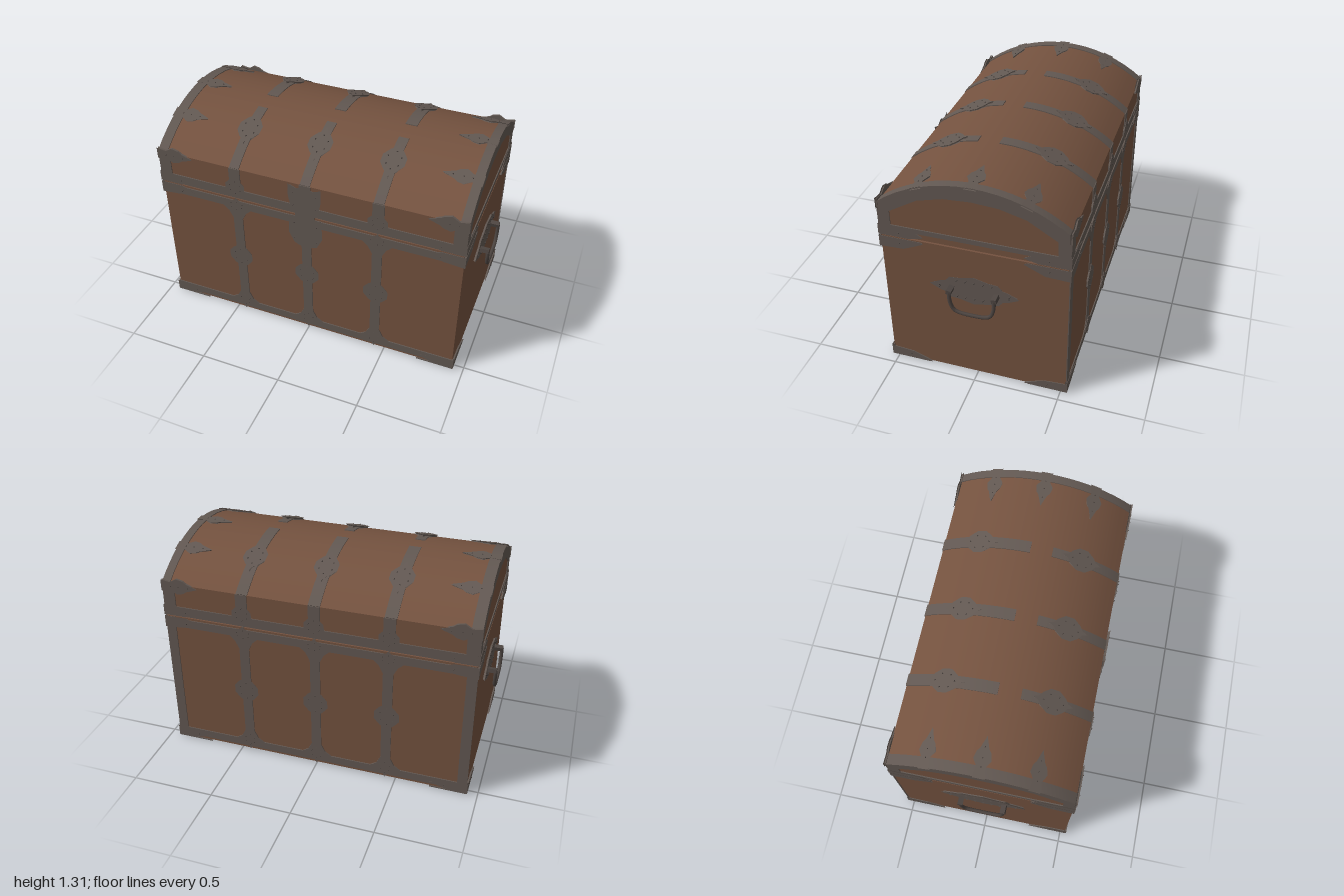
import * as THREE from 'three';
import { toCreasedNormals } from 'three/addons/utils/BufferGeometryUtils.js';

const wood = new THREE.MeshStandardMaterial({ color: 0x74523f });
wood.name = 'wood';
const metal = new THREE.MeshStandardMaterial({ color: 0x625852 });
metal.name = 'metal';
const darkMetal = new THREE.MeshStandardMaterial({ color: 0x4d4541 });
darkMetal.name = 'dark metal';

// Half sizes of the chest and the circle that forms the lid's arch
const HX = 0.93, HZ = 0.53, SPRING = 1.11, R = 0.852, CY = 0.443;
const EDGE = Math.asin(HZ / R);
const STRAPS = [-0.44, 0, 0.435];

function add(parent, name, geometry, material, x = 0, y = 0, z = 0) {
  const mesh = new THREE.Mesh(geometry, material);
  mesh.name = name;
  mesh.position.set(x, y, z);
  parent.add(mesh);
  return mesh;
}

const toShape = (pts) => new THREE.Shape(pts.map(([x, y]) => new THREE.Vector2(x, y)));

// Flat plate lying on the local xy plane; bevel gives raised, softened rims
function plate(parent, name, pts, { depth = 0.006, bevel = 0, material = metal, hole } = {}) {
  const shape = toShape(pts);
  if (hole) shape.holes.push(toShape(hole));
  const geometry = new THREE.ExtrudeGeometry(shape, {
    depth, bevelEnabled: bevel > 0, bevelSize: -bevel * 1.6, bevelThickness: bevel, bevelSegments: 1,
  });
  return add(parent, name, geometry, material);
}

const rect = (x0, x1, y0, y1) => [[x0, y0], [x1, y0], [x1, y1], [x0, y1]];
const mirrorX = (pts, s) => pts.map(([x, y]) => [x * s, y]);

// Points on the arch as [z, y], from angle a0 to a1 measured from straight up
function arc(radius, a0, a1, n = 16) {
  return Array.from({ length: n + 1 }, (_, i) => {
    const a = a0 + (a1 - a0) * i / n;
    return [radius * Math.sin(a), CY + radius * Math.cos(a)];
  });
}

// Sweeps a [z, y] profile along x
function sweep(parent, name, pts, x0, x1, material) {
  const shape = toShape(pts.map(([z, y]) => [-z, y]));
  const geometry = new THREE.ExtrudeGeometry(shape, { depth: x1 - x0, bevelEnabled: false });
  geometry.rotateY(Math.PI / 2);
  return add(parent, name, toCreasedNormals(geometry, 0.4), material, x0);
}

const arcBand = (parent, name, x0, x1, a0, a1) =>
  sweep(parent, name, [...arc(R + 0.005, a0, a1), ...arc(R - 0.01, a1, a0)], x0, x1, metal);

// Small pointed bump
function spike(parent, x, y, z, r = 0.011) {
  const cone = add(parent, 'spike', new THREE.ConeGeometry(r, 0.012, 3).toNonIndexed(), darkMetal, x, y, z);
  cone.geometry.computeVertexNormals();
  cone.rotation.x = Math.PI / 2;
}

// Lobed diamond boss with a ring of bumps
function boss(parent, x, y, w, h) {
  const group = new THREE.Group();
  group.name = 'boss';
  group.position.set(x, y, 0);
  const quarter = [[0, 1], [0.2, 0.72], [0.55, 0.58], [0.78, 0.4], [1, 0.22]];
  const right = [...quarter, ...quarter.slice().reverse().map(([a, b]) => [a, -b])];
  const left = right.slice(1, -1).reverse().map(([a, b]) => [-a, b]);
  plate(group, 'boss plate', [...right, ...left].map(([a, b]) => [a * w, b * h]), { depth: 0.006, bevel: 0.005 });
  for (const [a, b] of [[0, 0.5], [0, -0.5], [0.55, 0.2], [-0.55, 0.2], [0.5, -0.25], [-0.5, -0.25]])
    spike(group, a * w, b * h, 0.012);
  parent.add(group);
}

// Leaf-shaped finger that points inward from the end of the lid
function leaf(parent, s, y = 0) {
  const half = [[0.94, 0.035], [0.88, 0.025], [0.84, 0.05], [0.8, 0.04], [0.78, 0.025], [0.71, 0]];
  const pts = [...half, ...half.slice(0, -1).reverse().map(([x, v]) => [x, -v])];
  const mesh = plate(parent, 'lid leaf', mirrorX(pts, s), { depth: 0.005, bevel: 0.004 });
  mesh.position.y = y;
  for (const x of [0.77, 0.83, 0.88]) spike(parent, x * s, y, 0.01, 0.009);
}

// Local frame whose z axis leaves the lid's arch at the given angle
function lidNode(root, a) {
  const node = new THREE.Group();
  node.name = 'lid ornaments';
  node.position.set(0, CY + R * Math.cos(a), R * Math.sin(a));
  node.rotation.x = a - Math.PI / 2;
  root.add(node);
  return node;
}

function sideNode(root, name, x, z, turn) {
  const node = new THREE.Group();
  node.name = name;
  node.position.set(x, 0, z);
  node.rotation.y = turn;
  root.add(node);
  return node;
}

// Bands, straps and corners shared by front and back
function longSide(node, isBack) {
  plate(node, 'lid rim', rect(-0.935, 0.935, 0.905, 0.965));
  plate(node, 'upper band', rect(-0.935, 0.935, 0.83, 0.882));
  plate(node, 'lower band', rect(-0.935, 0.935, 0.025, 0.075));
  for (const s of [-1, 1]) {
    plate(node, 'lid post', mirrorX(rect(0.86, 0.935, 0.96, SPRING), s));
    if (isBack) plate(node, 'corner post', mirrorX(rect(0.875, 0.935, 0.02, 0.89), s));
    plate(node, 'top corner', mirrorX([[0.94, 0.82], [0.82, 0.83], [0.72, 0.86], [0.8, 0.895], [0.94, 0.895]], s), { bevel: 0.004 });
    plate(node, 'bottom corner', mirrorX([[0.94, 0.005], [0.8, 0.015], [0.71, 0.04], [0.82, 0.07], [0.94, 0.08]], s), { bevel: 0.004 });
    plate(node, 'rim corner', mirrorX([[0.94, 0.905], [0.8, 0.905], [0.72, 0.935], [0.82, 0.965], [0.94, 0.97]], s), { bevel: 0.004 });
    for (const y of [0.86, 0.04, 0.935]) spike(node, 0.8 * s, y, 0.012);
    leaf(node, s, 1.1);
  }
  const strap = [[0.1, 0.07], [0.055, 0.1], [0.03, 0.15], [0.03, 0.75], [0.055, 0.8], [0.1, 0.84]];
  for (const x of STRAPS) {
    const outline = [...strap, ...mirrorX(strap, -1).reverse()].map(([a, b]) => [x + a, b]);
    plate(node, 'strap', outline);
    plate(node, 'lid strap', rect(x - 0.035, x + 0.035, 0.96, SPRING));
    boss(node, x, 0.46, 0.075, 0.11);
    boss(node, x, 0.085, 0.055, 0.075);
    if (x || isBack) {
      boss(node, x, 0.985, 0.06, 0.08);
      boss(node, x, 0.855, 0.065, 0.05);
    }
  }
}

// Arch frame, corners, carry handle on each end
function shortSide(node) {
  const inner = [[0.465, 0.975], [0.465, 1.065], [0.3, 1.165], [0.15, 1.205]];
  plate(node, 'arch frame', [[-0.535, 0.945], ...arc(R + 0.005, -EDGE, EDGE), [0.535, 0.945]],
    { hole: [...inner, [0, 1.215], ...mirrorX(inner, -1).reverse()] });
  for (const s of [-1, 1]) {
    plate(node, 'rim corner', mirrorX([[0.54, 0.905], [0.36, 0.905], [0.28, 0.925], [0.35, 0.965], [0.54, 0.97]], s), { bevel: 0.004 });
    plate(node, 'top corner', mirrorX([[0.54, 0.825], [0.4, 0.83], [0.28, 0.885], [0.3, 0.895], [0.54, 0.895]], s), { bevel: 0.004 });
    plate(node, 'bottom corner', mirrorX([[0.54, 0.005], [0.28, 0.008], [0.4, 0.06], [0.54, 0.07]], s), { bevel: 0.004 });
    for (const y of [0.935, 0.865, 0.035]) spike(node, 0.42 * s, y, 0.012);
    const pivot = add(node, 'handle pivot', new THREE.BoxGeometry(0.03, 0.025, 0.06), darkMetal, 0.13 * s, 0.63, 0.035);
    pivot.rotation.z = 0.2 * s;
  }
  const q = [[0.26, 0], [0.2, 0.03], [0.165, 0.04], [0.14, 0.07], [0.08, 0.075], [0, 0.095]];
  const top = [...q, ...mirrorX(q.slice(0, -1), -1).reverse()];
  const under = top.slice(1, -1).reverse().map(([x, y]) => [x, -y]);
  const back = plate(node, 'handle plate', [...top, ...under], { depth: 0.006, bevel: 0.006 });
  back.position.y = 0.63;
  for (const x of [-0.2, -0.1, -0.05, 0, 0.05, 0.1, 0.2])
    for (const s of [-1, 1]) spike(node, x, 0.63 + s * (Math.abs(x) > 0.15 ? 0.006 : 0.055), 0.015, 0.014);
  const path = new THREE.CatmullRomCurve3([[-0.13, 0.63], [-0.125, 0.56], [-0.1, 0.51], [0, 0.495], [0.1, 0.51], [0.125, 0.56], [0.13, 0.63]]
    .map(([x, y]) => new THREE.Vector3(x, y, 0.058)));
  add(node, 'handle', new THREE.TubeGeometry(path, 24, 0.011, 6), darkMetal);
}

// Front lock: plate on the body, hasp on the lid
function lock(node) {
  plate(node, 'lock plate', [[-0.1, 0.89], [-0.105, 0.76], [-0.07, 0.69], [0, 0.66], [0.07, 0.69], [0.105, 0.76], [0.1, 0.89]], { depth: 0.008, bevel: 0.004 });
  plate(node, 'hasp', [[-0.1, 1.11], [-0.1, 1.03], [-0.08, 0.92], [0.08, 0.92], [0.1, 1.03], [0.1, 1.11], [0.05, 1.09], [0, 1.115], [-0.05, 1.09]], { depth: 0.008, bevel: 0.006 });
  plate(node, 'hasp tongue', [[-0.055, 0.98], [-0.065, 0.78], [-0.04, 0.74], [0.04, 0.74], [0.065, 0.78], [0.055, 0.98]], { depth: 0.013, bevel: 0.004 });
  for (const s of [-1, 1])
    for (const y of [1.06, 0.97, 0.84, 0.73]) spike(node, 0.07 * s, y, 0.015);
}

export function createModel() {
  const root = new THREE.Group();
  root.name = 'treasure chest';

  // Wooden box and arched lid, with a narrow gap between
  add(root, 'body', new THREE.BoxGeometry(2 * HX, 0.887, 2 * HZ), wood, 0, 0.4515, 0);
  sweep(root, 'lid', [[-HZ, 0.905], ...arc(R, -EDGE, EDGE), [HZ, 0.905]], -HX, HX, wood);

  const front = sideNode(root, 'front fittings', 0, HZ, 0);
  longSide(front, false);
  lock(front);
  longSide(sideNode(root, 'back fittings', 0, -HZ, Math.PI), true);
  shortSide(sideNode(root, 'left end fittings', HX, 0, Math.PI / 2));
  shortSide(sideNode(root, 'right end fittings', -HX, 0, -Math.PI / 2));

  // Straps over the lid and bands along its ends
  for (const x of STRAPS) {
    arcBand(root, 'back lid strap', x - 0.035, x + 0.035, -EDGE, 0);
    arcBand(root, 'front lid strap', x - 0.03, x + 0.03, 0.15, EDGE);
  }
  arcBand(root, 'right lid edge', -0.936, -0.875, -EDGE, EDGE);
  arcBand(root, 'left lid edge', 0.885, 0.936, -EDGE, EDGE);

  for (const a of [-0.36, 0, 0.36]) {
    const node = lidNode(root, a);
    for (const s of [-1, 1]) leaf(node, s);
    if (a) for (const x of STRAPS) boss(node, x, 0, 0.07, 0.12);
  }

  // Corner pads under the base
  for (const sx of [-1, 1])
    for (const sz of [-1, 1]) {
      const pad = plate(root, 'foot pad', [[0.935 * sx, 0.535 * sz], [0.71 * sx, 0.535 * sz], [0.8 * sx, 0.42 * sz], [0.935 * sx, 0.3 * sz]], { depth: 0.008 });
      pad.rotation.x = Math.PI / 2;
      pad.position.y = 0.008;
    }
  return root;
}
